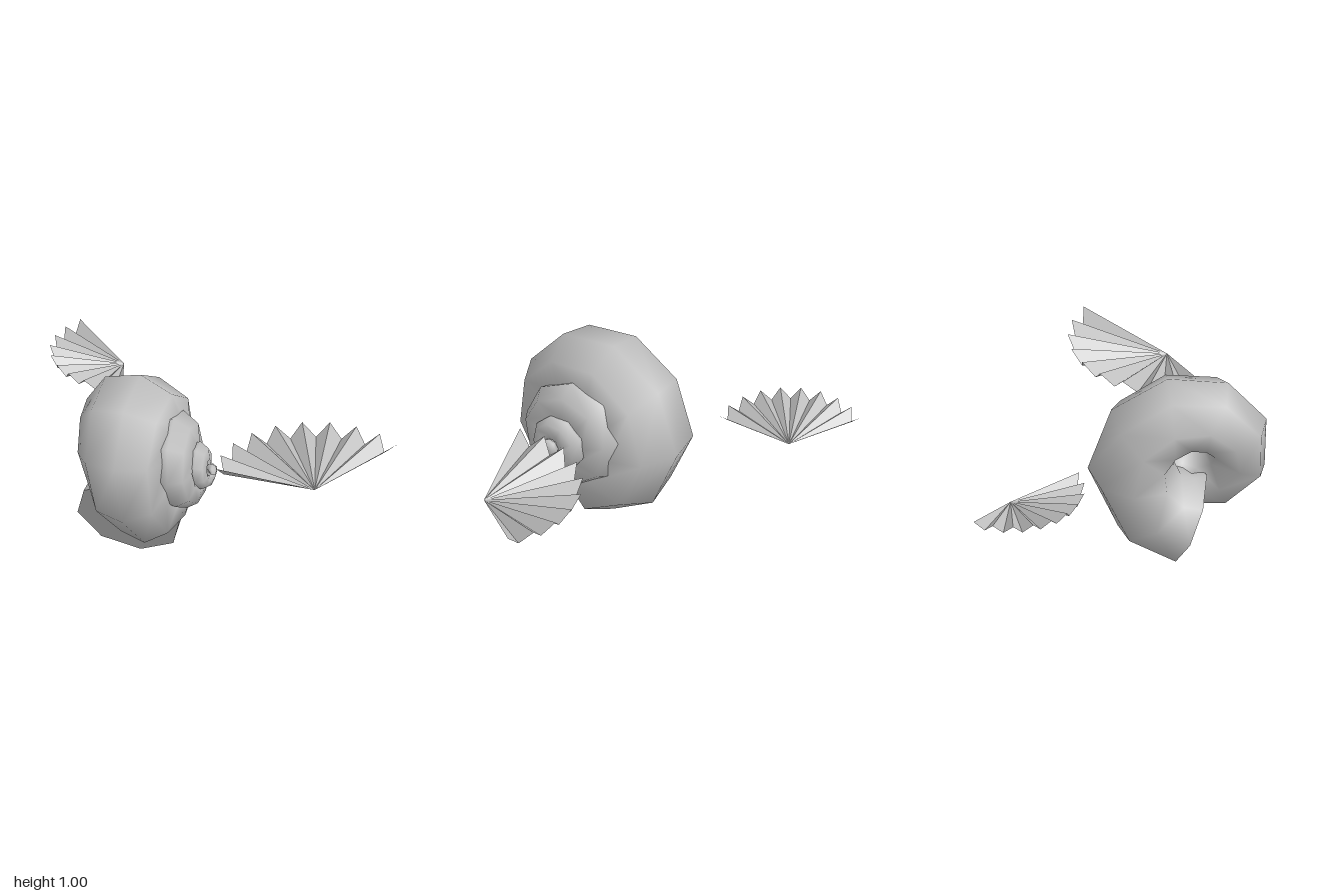
import * as THREE from 'three';

const grey = new THREE.MeshStandardMaterial({ color: 0xbebebe, side: THREE.DoubleSide });
grey.name = 'plain grey';

// Whorl profile from the mouth to the tip:
// [turns, outer radius, radial half size, x of centre, axial half size]
const WHORL = [
  [0, 0.58, 0.245, -0.29, 0.275],
  [0.2, 0.52, 0.23, -0.29, 0.265],
  [0.31, 0.48, 0.215, -0.29, 0.26],
  [0.45, 0.443, 0.205, -0.29, 0.25],
  [0.7, 0.412, 0.195, -0.25, 0.22],
  [0.9, 0.397, 0.18, -0.15, 0.17],
  [1.1, 0.34, 0.16, -0.11, 0.15],
  [1.45, 0.28, 0.13, -0.065, 0.125],
  [1.9, 0.2, 0.095, 0.03, 0.085],
  [2.45, 0.145, 0.068, 0.07, 0.062],
  [2.9, 0.08, 0.04, 0.12, 0.042],
  [3.45, 0.05, 0.028, 0.152, 0.028],
  [3.7, 0.025, 0.012, 0.17, 0.012],
];

function whorlAt(turn) {
  let k = 0;
  while (k < WHORL.length - 2 && WHORL[k + 1][0] < turn) k++;
  const a = WHORL[k], b = WHORL[k + 1];
  const f = Math.min(1, (turn - a[0]) / (b[0] - a[0]));
  return a.map((v, i) => v + (b[i] - v) * f);
}

const SIDES = 8, RINGS = 33;

// One cross-section of the coiled tube, wound about an axis along x
function ring(i) {
  const turn = Math.max(0, i - 0.28) / 8.67;
  const [, outer, a, x, b] = whorlAt(turn);
  const ang = THREE.MathUtils.degToRad(-79) + turn * Math.PI * 2;
  const pts = [];
  for (let j = 0; j < SIDES; j++) {
    const phi = (j / SIDES) * Math.PI * 2 + 0.12;
    const r = outer - a + a * Math.cos(phi);
    const lean = 0.2 * (r - outer); // inner side of each section leans forward
    pts.push([
      x + b * Math.sin(phi),
      0.57 + r * Math.sin(ang) + lean * Math.cos(ang),
      0.38 - r * Math.cos(ang) + lean * Math.sin(ang),
    ]);
  }
  return pts;
}

function buildGeometry(points, index) {
  const g = new THREE.BufferGeometry();
  g.setAttribute('position', new THREE.Float32BufferAttribute(points.flat(), 3));
  if (index) g.setIndex(index);
  g.computeVertexNormals();
  return g;
}

function named(geometry, name) {
  const m = new THREE.Mesh(geometry, grey);
  m.name = name;
  return m;
}

function makeShell() {
  const shell = new THREE.Group();
  shell.name = 'shell';
  const pts = [], idx = [];
  for (let i = 0; i < RINGS; i++) pts.push(...ring(i));
  for (let i = 0; i < RINGS - 1; i++) {
    for (let j = 0; j < SIDES; j++) {
      const n = (j + 1) % SIDES;
      const p = i * SIDES + j, q = i * SIDES + n;
      idx.push(p, p + SIDES, q, q, p + SIDES, q + SIDES);
    }
  }
  shell.add(named(buildGeometry(pts, idx), 'shellWhorls'));

  // Flat faces closing the mouth and the tip
  const fan = (flip) => {
    const f = [];
    for (let j = 1; j < SIDES - 1; j++) f.push(0, flip ? j + 1 : j, flip ? j : j + 1);
    return f;
  };
  shell.add(named(buildGeometry(ring(0), fan(false)), 'shellMouth'));
  shell.add(named(buildGeometry(ring(RINGS - 1), fan(true)), 'shellTip'));
  return shell;
}

// Pleated fan: ridges and valleys alternate along the rim
function makePleatedFan(name, size, startDeg, endDeg, position) {
  const folds = 18, rim = [], tris = [];
  for (let i = 0; i <= folds; i++) {
    const a = THREE.MathUtils.degToRad(startDeg + ((endDeg - startDeg) * i) / folds);
    const ridge = i % 2 === 0;
    const r = size * (ridge ? 1 : 0.93);
    rim.push([r * Math.cos(a), size * (ridge ? 0.22 : 0.085), -r * Math.sin(a)]);
  }
  for (let i = 0; i < folds; i++) tris.push([0, 0, 0], rim[i], rim[i + 1]);
  const m = named(buildGeometry(tris), name);
  m.position.set(...position);
  return m;
}

export function createModel() {
  const model = new THREE.Group();
  model.name = 'spiralShellWithFans';
  model.add(makeShell());
  model.add(makePleatedFan('largeFan', 0.497, 52, 196.5, [0.69, 0.56, 0.35]));
  model.add(makePleatedFan('smallFan', 0.373, 145, 288, [-0.63, 0.555, -0.555]));
  return model;
}
